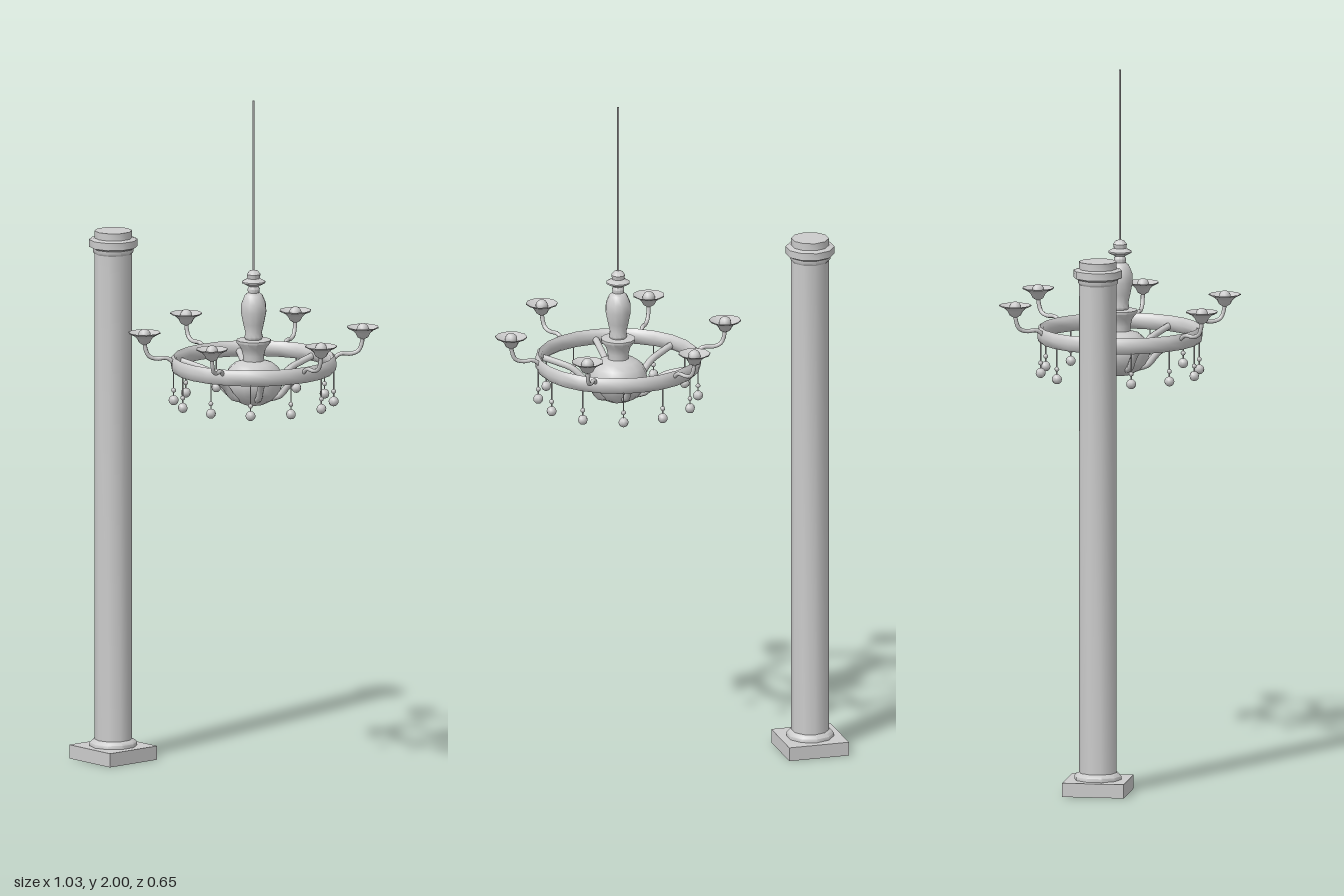
import * as THREE from 'three';
import { toCreasedNormals } from 'three/addons/utils/BufferGeometryUtils.js';

const material = new THREE.MeshStandardMaterial({ color: 0xcccccc, side: THREE.DoubleSide });

function add(parent, name, geometry, x = 0, y = 0, z = 0) {
  const mesh = new THREE.Mesh(geometry, material);
  mesh.name = name;
  mesh.position.set(x, y, z);
  parent.add(mesh);
  return mesh;
}

// Turned part from [radius, height] pairs, listed bottom to top
function turned(points, sides) {
  const profile = points.map(([r, y]) => new THREE.Vector2(r, y));
  return toCreasedNormals(new THREE.LatheGeometry(profile, sides), 0.75);
}

// Bent rod through [radius, height] points, running outward along +x
function rod(points, radius, steps = 14) {
  const curve = new THREE.CatmullRomCurve3(points.map(([x, y]) => new THREE.Vector3(x, y, 0)));
  return new THREE.TubeGeometry(curve, steps, radius, 8);
}

function createColumn() {
  const column = new THREE.Group();
  column.name = 'column';
  column.position.set(-0.428, 0, 0.025);
  add(column, 'plinth', new THREE.BoxGeometry(0.178, 0.04, 0.178), 0, 0.02, 0);
  add(column, 'columnBase', turned([
    [0.068, 0.04], [0.068, 0.05], [0.062, 0.057], [0.053, 0.06],
  ], 10));
  add(column, 'shaft', turned([[0.054, 0.055], [0.054, 1.48]], 10));
  add(column, 'capital', turned([
    [0.053, 1.472], [0.058, 1.478], [0.058, 1.488], [0.07, 1.494],
    [0.07, 1.515], [0.054, 1.519], [0.054, 1.54], [0, 1.54],
  ], 10));
  return column;
}

function createChandelier() {
  const lamp = new THREE.Group();
  lamp.name = 'chandelier';
  lamp.position.set(0.154, 0, -0.003);

  // Central stem
  add(lamp, 'bowl', turned([
    [0, 1.113], [0.03, 1.117], [0.058, 1.131], [0.077, 1.151], [0.086, 1.178],
    [0.084, 1.2], [0.072, 1.222], [0.054, 1.237], [0.03, 1.244],
  ], 12));
  add(lamp, 'collar', turned([
    [0.03, 1.235], [0.031, 1.26], [0.036, 1.28], [0.05, 1.297], [0.05, 1.304], [0.02, 1.306],
  ], 12));
  add(lamp, 'vase', turned([
    [0.02, 1.3], [0.027, 1.312], [0.024, 1.325], [0.03, 1.35], [0.037, 1.385],
    [0.036, 1.41], [0.026, 1.434], [0.016, 1.442],
  ], 12));
  add(lamp, 'finial', turned([
    [0.016, 1.44], [0.018, 1.452], [0.014, 1.46], [0.034, 1.47], [0.034, 1.474],
    [0.018, 1.483], [0.02, 1.495], [0.012, 1.505], [0, 1.508],
  ], 12));
  add(lamp, 'hangingRod', new THREE.CylinderGeometry(0.003, 0.003, 0.5, 8), 0, 1.75, 0);

  // Hoop with a rounded band section
  add(lamp, 'hoop', turned([
    [0.229, 1.212], [0.236, 1.219], [0.238, 1.235], [0.236, 1.251], [0.229, 1.258],
    [0.221, 1.251], [0.218, 1.235], [0.221, 1.219], [0.229, 1.212],
  ], 24));

  // Curved spokes between bowl and hoop
  const spokeShape = rod([
    [0.05, 1.138], [0.08, 1.148], [0.105, 1.178], [0.135, 1.203], [0.18, 1.218], [0.226, 1.23],
  ], 0.01);
  for (let i = 0; i < 6; i++) {
    add(lamp, 'spoke', spokeShape).rotation.y = (i + 0.5) * Math.PI / 3;
  }

  // Candle arms with cups and bulbs
  const armShape = rod([
    [0.225, 1.238], [0.25, 1.257], [0.28, 1.256], [0.302, 1.264], [0.312, 1.285], [0.315, 1.31],
  ], 0.006);
  const cupShape = turned([
    [0.006, 1.298], [0.016, 1.304], [0.022, 1.316], [0.031, 1.324],
    [0.046, 1.331], [0.046, 1.334], [0.02, 1.322], [0, 1.32],
  ], 10);
  const bulbShape = new THREE.SphereGeometry(0.018, 10, 8);
  for (let i = 0; i < 6; i++) {
    const branch = new THREE.Group();
    branch.name = 'candleBranch';
    branch.rotation.y = -(3 + i * 60) * Math.PI / 180;
    add(branch, 'arm', armShape);
    add(branch, 'cup', cupShape, 0.315, 0, 0);
    add(branch, 'bulb', bulbShape, 0.315, 1.326, 0);
    lamp.add(branch);
  }

  // Hanging drops around the hoop
  const wireShape = new THREE.CylinderGeometry(0.002, 0.002, 0.09, 6);
  const beadShape = new THREE.SphereGeometry(0.007, 8, 6);
  const dropShape = new THREE.SphereGeometry(0.0145, 8, 6);
  for (let i = 0; i < 12; i++) {
    const pendant = new THREE.Group();
    pendant.name = 'pendant';
    pendant.rotation.y = -(13 + i * 30) * Math.PI / 180;
    add(pendant, 'wire', wireShape, 0.229, 1.175, 0);
    add(pendant, 'bead', beadShape, 0.229, 1.155, 0);
    add(pendant, 'drop', dropShape, 0.229, 1.126, 0);
    lamp.add(pendant);
  }
  return lamp;
}

export function createModel() {
  const model = new THREE.Group();
  model.name = 'columnAndChandelier';
  model.add(createColumn(), createChandelier());
  return model;
}
